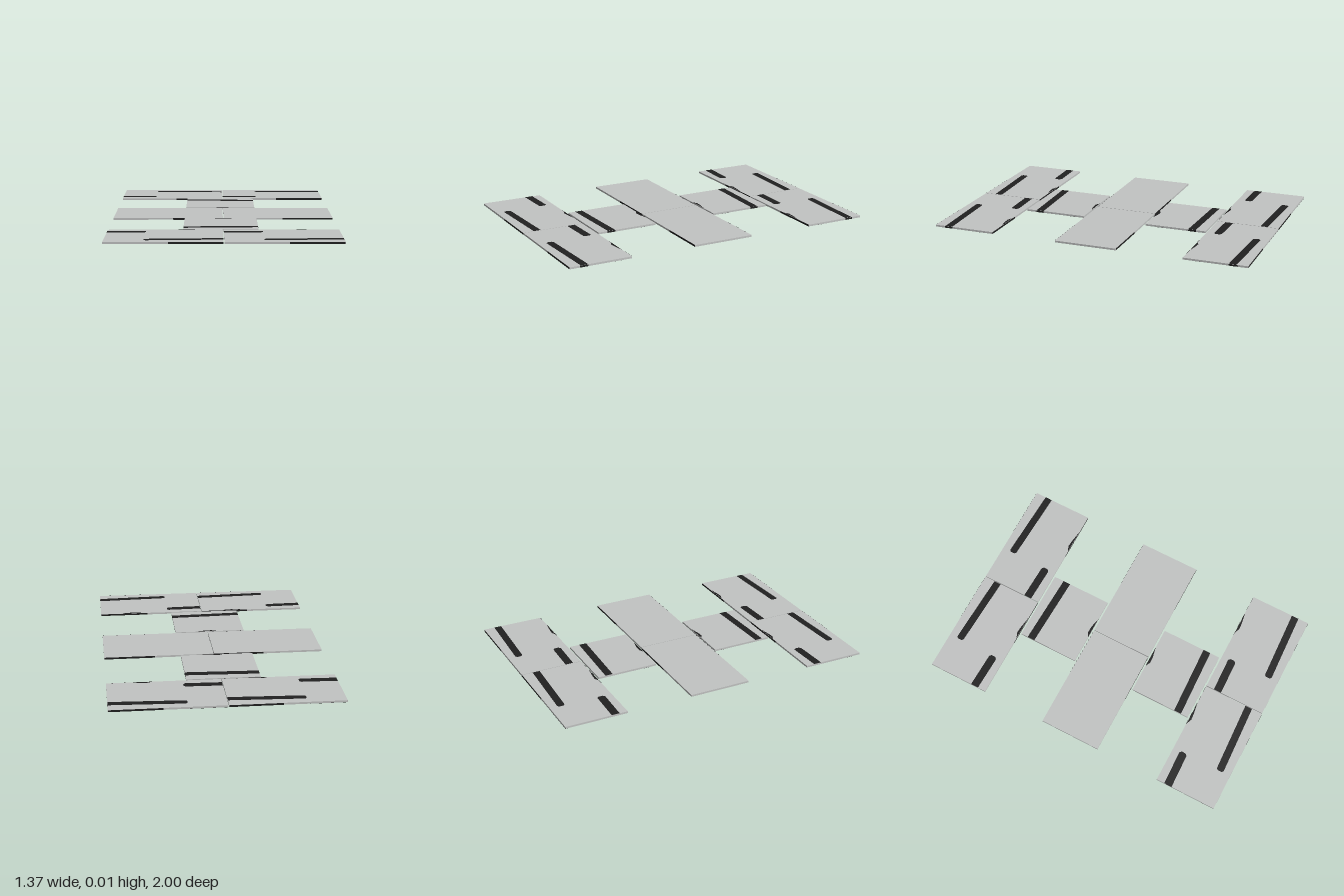
import * as THREE from 'three';

const panelMat = new THREE.MeshStandardMaterial({ color: 0xc2c4c3 });
panelMat.name = 'lightGrey';
const paintMat = new THREE.MeshStandardMaterial({ color: 0x202020, side: THREE.DoubleSide });
paintMat.name = 'black';

const HEIGHT = 0.013, SKIN = 0.0008, HALF = 0.195, PITCH = 0.4025;

export function createModel() {
  const group = new THREE.Group();
  const add = (name, geometry, material) => {
    const mesh = new THREE.Mesh(geometry, material);
    mesh.name = name;
    group.add(mesh);
    return mesh;
  };

  // thin slab between two x positions
  const panel = (name, x0, x1, zc) => {
    const g = new THREE.BoxGeometry(x1 - x0, HEIGHT - 2 * SKIN, HALF * 2);
    add(name, g, panelMat).position.set((x0 + x1) / 2, HEIGHT / 2, zc);
  };

  // flat painted polygon, points given as [x, z]
  const paint = (name, points, y) => {
    const shape = new THREE.Shape(points.map(([x, z]) => new THREE.Vector2(x, z)));
    add(name, new THREE.ShapeGeometry(shape).rotateX(Math.PI / 2), paintMat).position.y = y;
  };

  // mark on the top of a row, repeated mirrored on its underside
  const mark = (name, points, s, zc, below = true) => {
    paint(name, points.map(([x, z]) => [x, s * z]), HEIGHT);
    if (below) paint(name + 'Below', points.map(([x, z]) => [x, s * (2 * zc - z)]), 0);
  };

  // slanted bar with optional chamfered ends
  const bar = (x0, z0, x1, z1, h, c0 = 0, c1 = 0) => [
    [x0, z0 - h + c0], [x0 + c0, z0 - h], [x1 - c1, z1 - h], [x1, z1 - h + c1],
    [x1, z1 + h - c1], [x1 - c1, z1 + h], [x0 + c0, z0 + h], [x0, z0 + h - c0],
  ];

  // painted strip on a front or back edge
  const edgePaint = (x0, x1, z) => {
    const g = new THREE.PlaneGeometry(x1 - x0, HEIGHT - 2 * SKIN);
    add('edgePaint', g, paintMat).position.set((x0 + x1) / 2, HEIGHT / 2, z);
  };

  // painted strip on a right-hand end
  const endPaint = (x, z) => {
    const g = new THREE.PlaneGeometry(0.052, HEIGHT - 2 * SKIN).rotateY(Math.PI / 2);
    add('endPaint', g, paintMat).position.set(x, HEIGHT / 2, z);
  };

  // wide rows: two panels side by side
  for (const row of [-2, 0, 2]) {
    const zc = row * PITCH;
    panel('widePanelRight', -0.685, -0.002, zc);
    panel('widePanelLeft', 0.002, 0.685, zc);
    for (const x of [-0.685, 0]) {
      for (const e of [-1, 1]) edgePaint(x + 0.37, x + 0.683, zc + e * (HALF + SKIN));
    }
  }

  // outer rows: markings on both faces
  for (const s of [-1, 1]) {
    const zc = 2 * PITCH;
    for (const x of [-0.685, 0.002]) {
      mark('longStripe', bar(x + 0.228, 0.929, x + 0.682, 0.909, 0.023, 0.01), s, zc);
      const short = bar(x, 0.687, x + 0.23, 0.68, 0.025, 0, 0.012);
      mark('shortStripe', short, s, zc, s > 0);
      if (s < 0) paint('shortStripeBelow', [[x, -1], [x + 0.22, -1], [x + 0.2, -0.978], [x, -0.978]], 0);
      mark('edgeFleck', [[x + 0.405, 0.611], [x + 0.44, 0.626], [x + 0.48, 0.623], [x + 0.56, 0.611]], s, zc);
    }
    endPaint(0.685 + SKIN / 2, s * 0.911);
  }

  // narrow connecting rows
  for (const s of [-1, 1]) {
    panel('narrowPanel', -0.24, 0.208, s * PITCH);
    mark('stripe', bar(-0.24, 0.527, 0.208, 0.51, 0.024), s, PITCH);
    mark('edgeFleck', [[-0.06, 0.208], [-0.03, 0.224], [0.015, 0.222], [0.08, 0.208]], s, PITCH);
    endPaint(0.208 + SKIN / 2, s * 0.511);
  }

  // dark blocks under the middle row
  for (const x of [-0.685, 0]) {
    paint('darkUnderside', [[x + 0.373, -HALF], [x + 0.683, -HALF], [x + 0.683, HALF], [x + 0.373, HALF]], 0);
  }

  return group;
}
